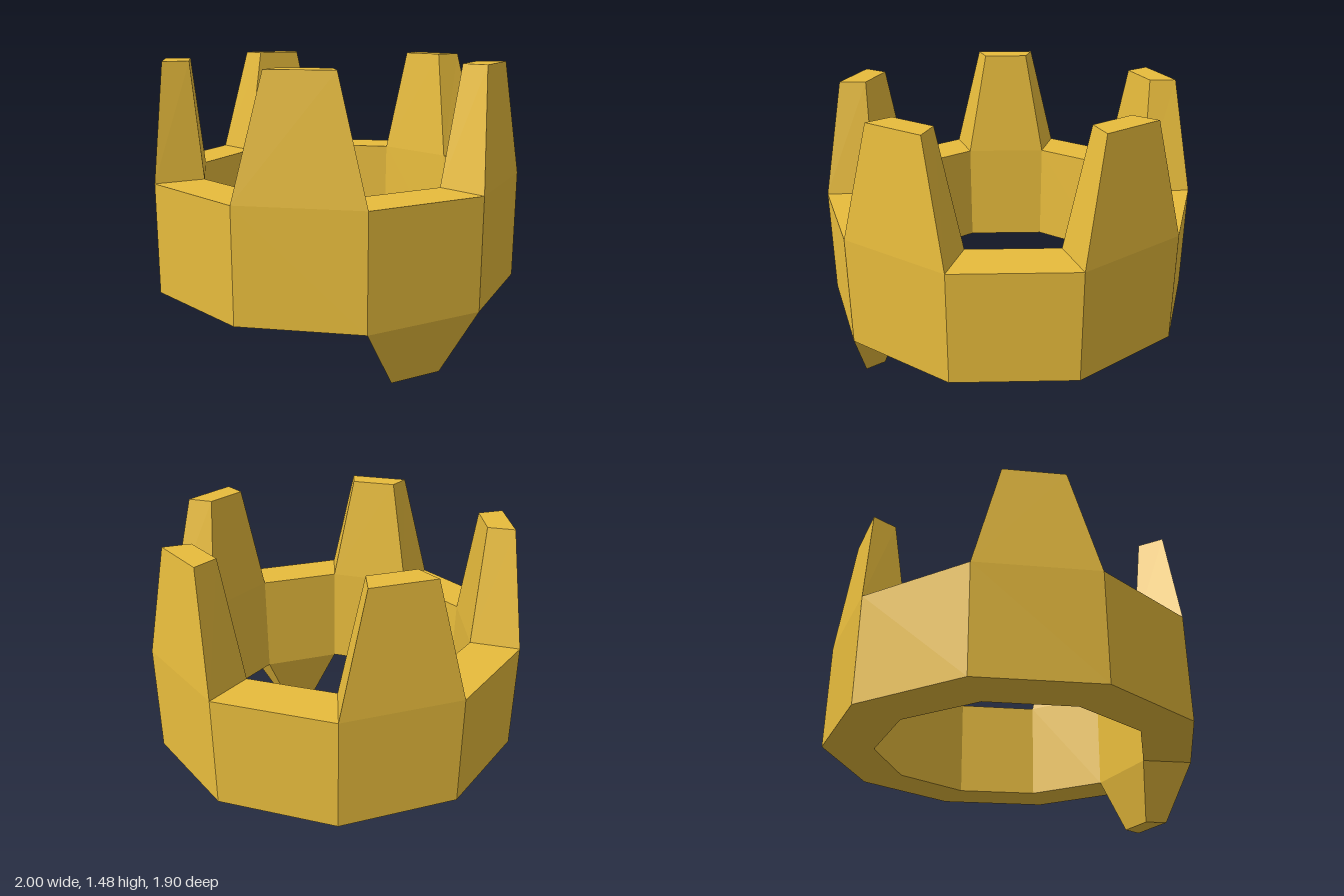
import * as THREE from 'three';

const SIDES = 10;
const HALF = Math.PI / SIDES;
const BAND_LOW = 0.305, BAND_HIGH = 0.88;
const OUTER = 1, INNER_LOW = 0.73, INNER_HIGH = 0.742;

// Four corners of a trapezoid facing +z, counter-clockwise from above
function trapezoid(y, outerX, outerZ, innerX, innerZ) {
  return [[-outerX, y, outerZ], [outerX, y, outerZ], [innerX, y, innerZ], [-innerX, y, innerZ]];
}

// Footprint of one side of the band
function bandSegment(y, innerRadius) {
  const s = Math.sin(HALF), c = Math.cos(HALF);
  return trapezoid(y, OUTER * s, OUTER * c, innerRadius * s, innerRadius * c);
}

// Solid between two trapezoids, closed only at its free end
function taperedBlock(low, high, capTop) {
  const index = [];
  for (let i = 0; i < 4; i++) {
    const j = (i + 1) % 4;
    index.push(i, j, j + 4, i, j + 4, i + 4);
  }
  index.push(...(capTop ? [4, 5, 6, 4, 6, 7] : [0, 2, 1, 0, 3, 2]));
  const geometry = new THREE.BufferGeometry();
  geometry.setAttribute('position', new THREE.Float32BufferAttribute([...low, ...high].flat(), 3));
  geometry.setIndex(index);
  const flat = geometry.toNonIndexed();
  flat.computeVertexNormals();
  return flat;
}

export function createModel() {
  const group = new THREE.Group();
  group.name = 'crown';
  const gold = new THREE.MeshStandardMaterial({ color: 0xe8bc3c, flatShading: true });
  const add = (name, geometry, turn = 0) => {
    const mesh = new THREE.Mesh(geometry, gold);
    mesh.name = name;
    mesh.rotation.y = turn;
    group.add(mesh);
  };

  // Ten-sided band with a slightly flared inside
  const profile = [
    [INNER_LOW, BAND_LOW], [OUTER, BAND_LOW], [OUTER, BAND_HIGH],
    [INNER_HIGH, BAND_HIGH], [INNER_LOW, BAND_LOW],
  ].map(([r, y]) => new THREE.Vector2(r, y));
  add('band', new THREE.LatheGeometry(profile, SIDES, HALF));

  // Five tapered points on every other side, starting at the back
  const point = taperedBlock(
    bandSegment(BAND_HIGH, INNER_HIGH),
    trapezoid(1.475, 0.163, 0.897, 0.123, 0.763), true);
  for (let i = 0; i < 5; i++) add(`point${i + 1}`, point, Math.PI + i * 4 * HALF);

  // Single tapered guard hanging from the front
  add('frontGuard', taperedBlock(
    trapezoid(0, 0.135, 0.88, 0.1, 0.77),
    bandSegment(BAND_LOW, INNER_LOW), false));

  return group;
}
